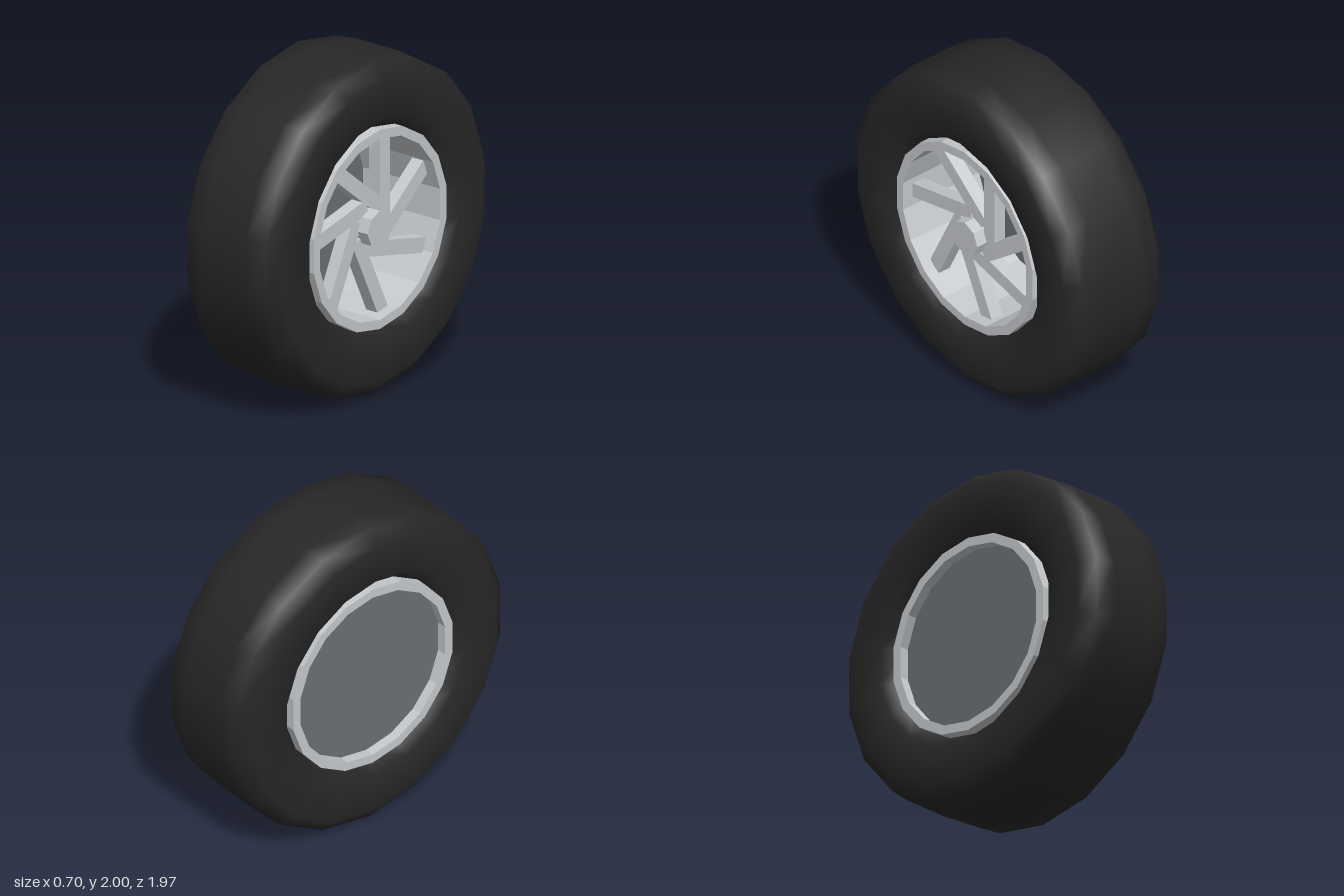
import * as THREE from 'three';
import { toCreasedNormals } from 'three/addons/utils/BufferGeometryUtils.js';

const SIDES = 18;
const SPOKES = 7;

// Revolves [radius, x] pairs around the x axis, with a corner at the top
function revolve(profile) {
  const points = profile.map(([r, x]) => new THREE.Vector2(r, x));
  return new THREE.LatheGeometry(points, SIDES, Math.PI / 2).rotateZ(-Math.PI / 2);
}

// Cylinder lying along the x axis between two x positions
function axle(radius, x0, x1, sides, start = 0) {
  return new THREE.CylinderGeometry(radius, radius, x1 - x0, sides, 1, false, start)
    .rotateZ(-Math.PI / 2)
    .translate((x0 + x1) / 2, 0, 0);
}

export function createModel() {
  const rubber = new THREE.MeshStandardMaterial({ color: 0x272727 });
  rubber.name = 'black rubber';
  const alloy = new THREE.MeshStandardMaterial({ color: 0xc6cacd });
  alloy.name = 'light alloy';
  const darkMetal = new THREE.MeshStandardMaterial({ color: 0x6c7073 });
  darkMetal.name = 'dark metal';

  const wheel = new THREE.Group();
  wheel.name = 'wheel';
  wheel.position.y = 1;

  const add = (name, geometry, material, parent = wheel) => {
    const mesh = new THREE.Mesh(geometry, material);
    mesh.name = name;
    parent.add(mesh);
    return mesh;
  };

  // Tyre: smooth tread, shoulders and sidewalls that tuck in to the rim
  const half = [[1, 0.15], [0.985, 0.28], [0.9, 0.35], [0.67, 0.35], [0.59, 0.25]];
  const mirrored = half.map(([r, x]) => [r, -x]).reverse();
  add('tyre', revolve([...mirrored, ...half]), rubber);

  // Rim: faceted ring with an open barrel
  const rim = revolve([[0.595, -0.32], [0.595, 0.32], [0.54, 0.32], [0.54, -0.32], [0.595, -0.32]]);
  add('rim', toCreasedNormals(rim, 0.1), alloy);

  // Plate closing the inner side of the barrel
  add('backPlate', toCreasedNormals(axle(0.542, -0.26, -0.24, SIDES, Math.PI / 2), 0.1), darkMetal);

  // Spokes: straight bars set off-centre, giving a swirl
  const spokes = new THREE.Group();
  spokes.name = 'spokes';
  wheel.add(spokes);
  const bar = new THREE.BoxGeometry(0.08, 0.53, 0.09).translate(0.21, 0.265, -0.13);
  for (let i = 0; i < SPOKES; i++) {
    add('spoke', bar, alloy, spokes).rotation.x = (i * 2 * Math.PI) / SPOKES;
  }

  // Hub cap
  add('hub', toCreasedNormals(axle(0.11, 0.17, 0.32, 8), 0.1), alloy);

  const model = new THREE.Group();
  model.name = 'model';
  model.add(wheel);
  return model;
}
